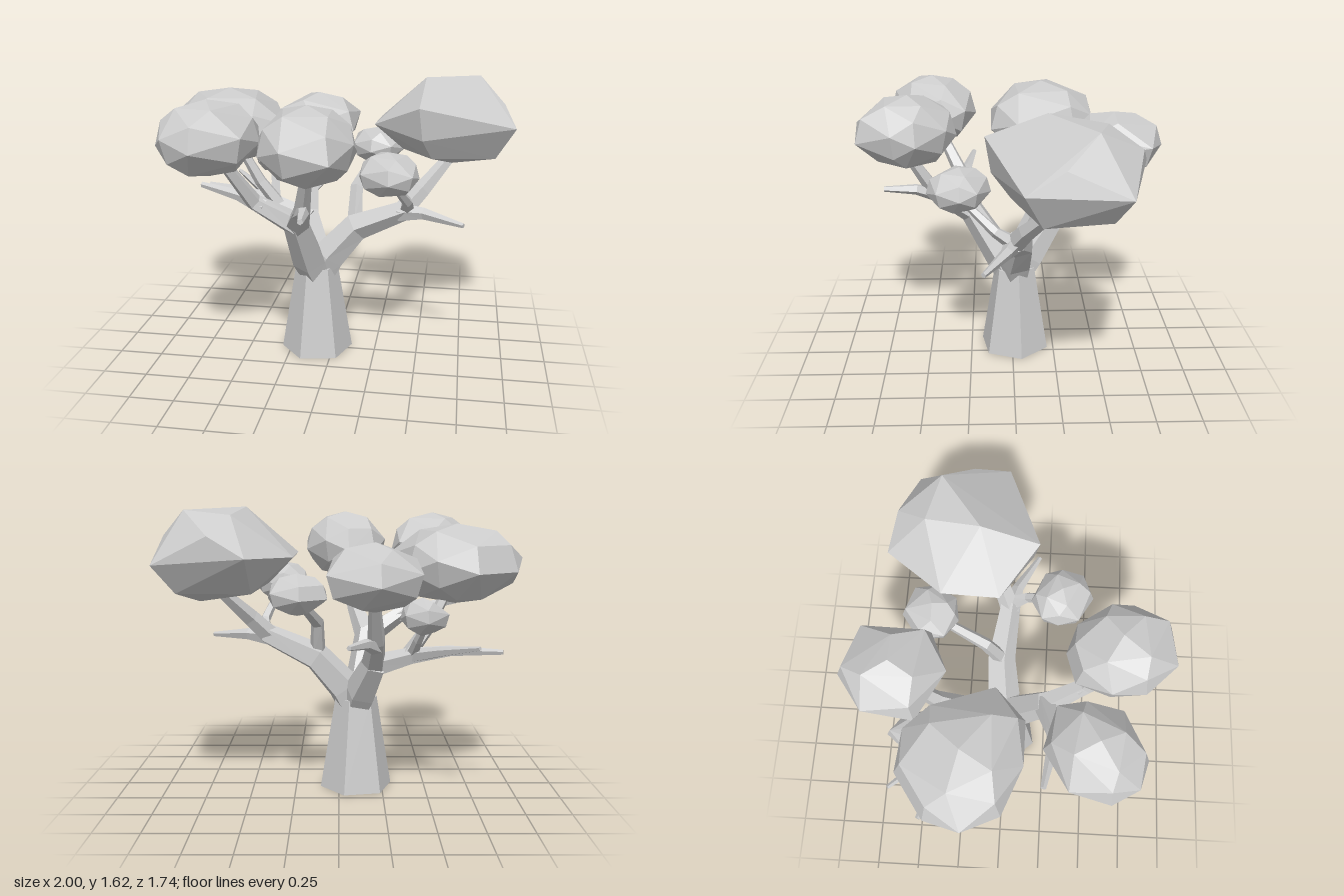
import * as THREE from 'three';
import { ConvexGeometry } from 'three/addons/geometries/ConvexGeometry.js';

const material = new THREE.MeshStandardMaterial({ color: 0xcccccc, flatShading: true });
const V = (x, y, z) => new THREE.Vector3(x, y, z);

// Tapering faceted limb; each station is [x, y, z, radius]
function limb(name, stations, sides = 5) {
  const pts = stations.map((s) => V(s[0], s[1], s[2]));
  const pos = [];
  const index = [];
  const last = pts.length - 1;
  let u = V(1, 0, 0.3);
  pts.forEach((p, i) => {
    const a = pts[Math.max(i - 1, 0)];
    const b = pts[Math.min(i + 1, last)];
    const t = b.clone().sub(a).normalize();
    if (i === 0 && Math.abs(t.dot(u)) > 0.9) u = V(0, 1, 0);
    u = u.clone().addScaledVector(t, -u.dot(t)).normalize();
    const w = u.clone().cross(t);
    for (let k = 0; k < sides; k++) {
      const ang = (k / sides) * Math.PI * 2;
      const r = stations[i][3];
      const q = p.clone().addScaledVector(u, Math.cos(ang) * r).addScaledVector(w, Math.sin(ang) * r);
      pos.push(q.x, q.y, q.z);
    }
  });
  for (let i = 0; i < last; i++) {
    for (let k = 0; k < sides; k++) {
      const a = i * sides + k;
      const b = i * sides + ((k + 1) % sides);
      index.push(a, a + sides, b, b, a + sides, b + sides);
    }
  }
  // end caps
  const e = last * sides;
  for (let k = 1; k < sides - 1; k++) {
    index.push(0, k, k + 1);
    index.push(e, e + k + 1, e + k);
  }
  const g = new THREE.BufferGeometry();
  g.setAttribute('position', new THREE.Float32BufferAttribute(pos, 3));
  g.setIndex(index);
  const flat = g.toNonIndexed();
  flat.computeVertexNormals();
  const mesh = new THREE.Mesh(flat, material);
  mesh.name = name;
  return mesh;
}

function hull(name, points) {
  const mesh = new THREE.Mesh(new ConvexGeometry(points), material);
  mesh.name = name;
  return mesh;
}

// Faceted leaf clump: a plan outline of [x, z] corners, rounded off above and below
function clump(name, bottom, top, outline) {
  const n = outline.length;
  const mid = (bottom + top) / 2;
  const half = (top - bottom) / 2;
  const cx = outline.reduce((s, p) => s + p[0], 0) / n;
  const cz = outline.reduce((s, p) => s + p[1], 0) / n;
  const pts = [V(cx, top, cz), V(cx, bottom, cz)];
  const put = (x, z, scale, h) => pts.push(V(cx + (x - cx) * scale, mid + h * half, cz + (z - cz) * scale));
  outline.forEach(([x, z], i) => {
    const [x2, z2] = outline[(i + 1) % n];
    const side = i % 2 ? 1 : -1;
    put(x, z, 1, 0.15 * side);
    put(x, z, 0.87, -0.5 * side);
    // shoulder corners between the outline corners
    put((x + x2) / 2, (z + z2) / 2, 0.62, 0.83 * side);
  });
  return hull(name, pts);
}

export function createModel() {
  const tree = new THREE.Group();
  tree.name = 'tree';

  // Trunk: tapered hexagonal column
  const trunkGeo = new THREE.CylinderGeometry(0.122, 0.21, 0.53, 6, 1).toNonIndexed();
  trunkGeo.rotateY(Math.PI * 0.558);
  trunkGeo.computeVertexNormals();
  const trunk = new THREE.Mesh(trunkGeo, material);
  trunk.position.set(-0.1, 0.265, -0.015);
  trunk.name = 'trunk';
  tree.add(trunk);

  const branches = new THREE.Group();
  branches.name = 'branches';
  const limbs = {
    // left side limb and its forks
    leftLimb: [[-0.08, 0.47, -0.015, 0.085], [-0.03, 0.59, -0.02, 0.1], [0.13, 0.77, -0.04, 0.085], [0.42, 0.9, 0, 0.06]],
    leftUpperBranch: [[0.4, 0.89, 0, 0.058], [0.5, 1.0, -0.06, 0.05], [0.66, 1.18, -0.2, 0.032]],
    leftTwig: [[0.38, 0.88, 0, 0.055], [0.52, 0.89, 0.04, 0.035], [0.74, 0.87, 0.16, 0.014]],
    leftFrontBranch: [[0.42, 0.9, 0, 0.045], [0.43, 0.97, 0.1, 0.03], [0.36, 1.12, 0.27, 0.02]],
    leftBackBranch: [[0.12, 0.8, -0.04, 0.045], [0.12, 0.98, -0.12, 0.038], [0.2, 1.12, -0.38, 0.025]],
    // front limb and its forks
    frontLimb: [[-0.1, 0.47, 0.01, 0.085], [-0.13, 0.58, 0.06, 0.1], [-0.17, 0.87, 0.24, 0.075]],
    frontBranch: [[-0.17, 0.84, 0.22, 0.07], [-0.1, 1.0, 0.44, 0.048], [-0.05, 1.22, 0.57, 0.032]],
    frontTwig: [[-0.12, 0.97, 0.4, 0.045], [-0.07, 1.03, 0.55, 0.032], [-0.05, 1.04, 0.73, 0.016]],
    frontRightBranch: [[-0.17, 0.85, 0.23, 0.07], [-0.39, 0.99, 0.29, 0.048], [-0.51, 1.23, 0.42, 0.032]],
    frontRightTwig: [[-0.34, 0.96, 0.28, 0.045], [-0.48, 1.02, 0.27, 0.032], [-0.7, 1.06, 0.23, 0.016]],
    // back limb and its forks
    backLimb: [[-0.1, 0.47, -0.03, 0.085], [-0.13, 0.58, -0.09, 0.1], [-0.2, 0.77, -0.23, 0.075]],
    backBranch: [[-0.19, 0.75, -0.21, 0.07], [-0.2, 0.92, -0.38, 0.05], [-0.18, 1.16, -0.55, 0.03]],
    backTwig: [[-0.2, 0.88, -0.35, 0.045], [-0.14, 0.92, -0.48, 0.03], [-0.05, 0.93, -0.65, 0.014]],
    backRightBranch: [[-0.17, 0.74, -0.19, 0.07], [-0.4, 0.82, -0.27, 0.048], [-0.6, 0.86, -0.34, 0.03], [-0.86, 0.87, -0.43, 0.014]],
    backRightTwig: [[-0.4, 0.82, -0.27, 0.04], [-0.54, 0.87, -0.42, 0.028], [-0.71, 0.92, -0.6, 0.012]],
    backRightUpperBranch: [[-0.37, 0.81, -0.25, 0.045], [-0.48, 0.96, -0.23, 0.038], [-0.58, 1.15, -0.21, 0.028]],
    backRightSprig: [[-0.4, 0.82, -0.26, 0.035], [-0.42, 0.92, -0.37, 0.026], [-0.45, 1.02, -0.45, 0.02]],
  };
  for (const [name, stations] of Object.entries(limbs)) branches.add(limb(name, stations));
  tree.add(branches);

  const foliage = new THREE.Group();
  foliage.name = 'foliage';
  // Largest clump, a coarse irregular hull
  foliage.add(hull('leftLargeClump', [
    [0.5, 1.62, -0.16], [0.8, 1.605, -0.38], [0.55, 1.58, -0.45],
    [0.46, 1.37, -0.66], [0.95, 1.33, -0.53], [0.65, 1.48, -0.61], [0.94, 1.47, -0.22],
    [1.0, 1.37, -0.03], [0.48, 1.5, 0.15], [0.225, 1.37, -0.05], [0.24, 1.36, -0.36],
    [0.5, 1.32, 0.12], [0.84, 1.18, -0.46], [0.9, 1.18, -0.12], [0.55, 1.2, 0.02],
    [0.38, 1.21, -0.16], [0.45, 1.18, -0.48], [0.73, 1.13, -0.36], [0.66, 1.14, -0.15],
  ].map((p) => V(...p))));
  // Remaining clumps: name, bottom, top, plan outline
  [
    ['rightLargeClump', 1.1, 1.53, [[-0.71, -0.52], [-0.5, -0.49], [-0.36, -0.38], [-0.26, -0.04], [-0.41, 0.12], [-0.66, 0.12], [-0.9, 0.02], [-1, -0.17], [-0.94, -0.36]]],
    ['backClump', 1.1, 1.45, [[-0.2, -0.87], [0.06, -0.77], [0.06, -0.4], [-0.17, -0.3], [-0.43, -0.45], [-0.41, -0.72]]],
    ['frontRightClump', 1.18, 1.58, [[-0.57, 0.21], [-0.36, 0.27], [-0.32, 0.4], [-0.37, 0.6], [-0.6, 0.73], [-0.76, 0.68], [-0.83, 0.55], [-0.79, 0.34]]],
    ['frontClump', 1.18, 1.585, [[-0.06, 0.31], [0.08, 0.36], [0.2, 0.52], [0.2, 0.65], [0.11, 0.85], [-0.12, 0.87], [-0.26, 0.72], [-0.29, 0.54], [-0.22, 0.36]]],
    ['frontLeftSmallClump', 1.055, 1.295, [[0.32, 0.12], [0.47, 0.19], [0.5, 0.28], [0.47, 0.4], [0.35, 0.46], [0.2, 0.38], [0.18, 0.27], [0.2, 0.18]]],
    ['backLeftSmallClump', 1.06, 1.28, [[0.2, -0.58], [0.35, -0.52], [0.37, -0.4], [0.3, -0.29], [0.18, -0.27], [0.07, -0.34], [0.06, -0.48]]],
    ['backRightSmallClump', 0.96, 1.16, [[-0.45, -0.61], [-0.34, -0.52], [-0.32, -0.42], [-0.4, -0.34], [-0.52, -0.36], [-0.57, -0.47]]],
  ].forEach((c) => foliage.add(clump(...c)));
  tree.add(foliage);

  return tree;
}
